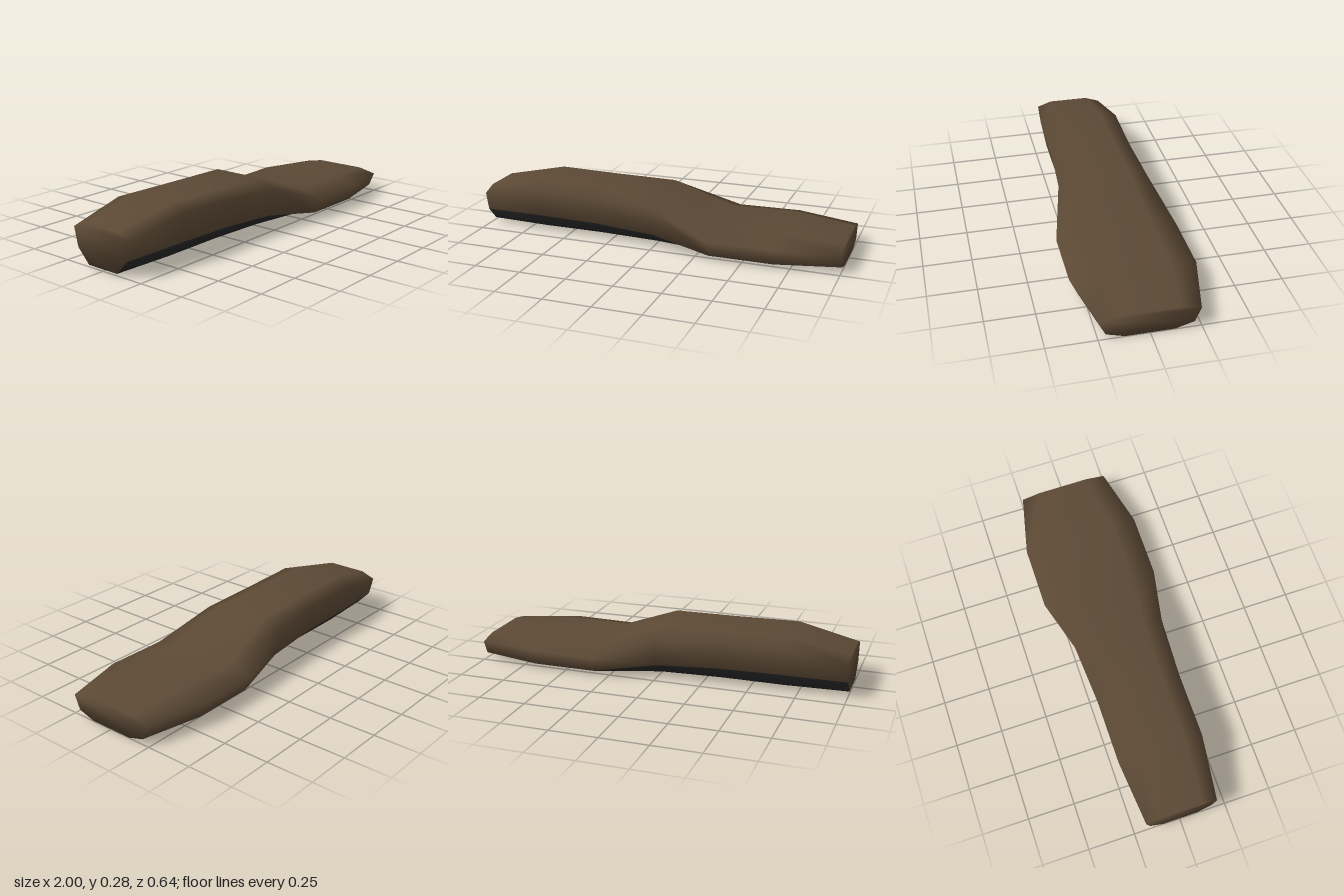
import * as THREE from 'three';

// Stations along the seat: x, half width, top y, shoulder y, lower edge y, base y
const STATIONS = [
  [-1.0, 0.19, 0.213, 0.185, 0.085, 0.01],
  [-0.67, 0.226, 0.282, 0.25, 0.096, 0.01],
  [-0.33, 0.226, 0.276, 0.243, 0.09, 0.01],
  [0.0, 0.245, 0.27, 0.226, 0.073, 0.006],
  [0.33, 0.32, 0.143, 0.11, 0.025, 0],
  [0.67, 0.32, 0.151, 0.115, 0.025, 0.002],
  [1.0, 0.245, 0.125, 0.104, 0.03, 0.002],
];

// Eight-sided cross-section, from the top left edge round under to the top right edge
function ring([x, w, top, shoulder, lower, base]) {
  const half = [[top, 0.58 * w], [shoulder, w], [lower, 0.875 * w], [base, 0.5 * w]];
  return [
    ...half.map(([y, z]) => [x, y, z]),
    ...half.reverse().map(([y, z]) => [x, y, -z]),
  ];
}

export function createModel() {
  const leather = new THREE.MeshStandardMaterial({ color: 0x5c4935 });
  leather.name = 'brownLeather';
  const underside = new THREE.MeshStandardMaterial({ color: 0x28282a });
  underside.name = 'darkBase';

  const positions = STATIONS.flatMap(ring).flat();
  const cover = [], base = [];
  const quad = (list, a, b, c, d) => list.push(a, b, c, a, c, d);

  // Skin between neighbouring sections: padded cover above, dark pan below
  for (let s = 0; s < STATIONS.length - 1; s++) {
    for (let i = 0; i < 8; i++) {
      const j = (i + 1) % 8, a = s * 8, b = a + 8;
      quad(i >= 2 && i <= 4 ? base : cover, a + i, a + j, b + j, b + i);
    }
  }

  // End caps in three bands
  const last = (STATIONS.length - 1) * 8;
  for (let i = 0; i < 3; i++) {
    quad(cover, last + i, last + i + 1, last + 6 - i, last + 7 - i);
    quad(cover, 7 - i, 6 - i, i + 1, i);
  }

  const geometry = new THREE.BufferGeometry();
  geometry.setAttribute('position', new THREE.Float32BufferAttribute(positions, 3));
  geometry.setIndex([...cover, ...base]);
  geometry.addGroup(0, cover.length, 0);
  geometry.addGroup(cover.length, base.length, 1);
  geometry.computeVertexNormals();

  const seat = new THREE.Mesh(geometry, [leather, underside]);
  seat.name = 'seatCushion';
  const group = new THREE.Group();
  group.name = 'seat';
  group.add(seat);
  return group;
}
